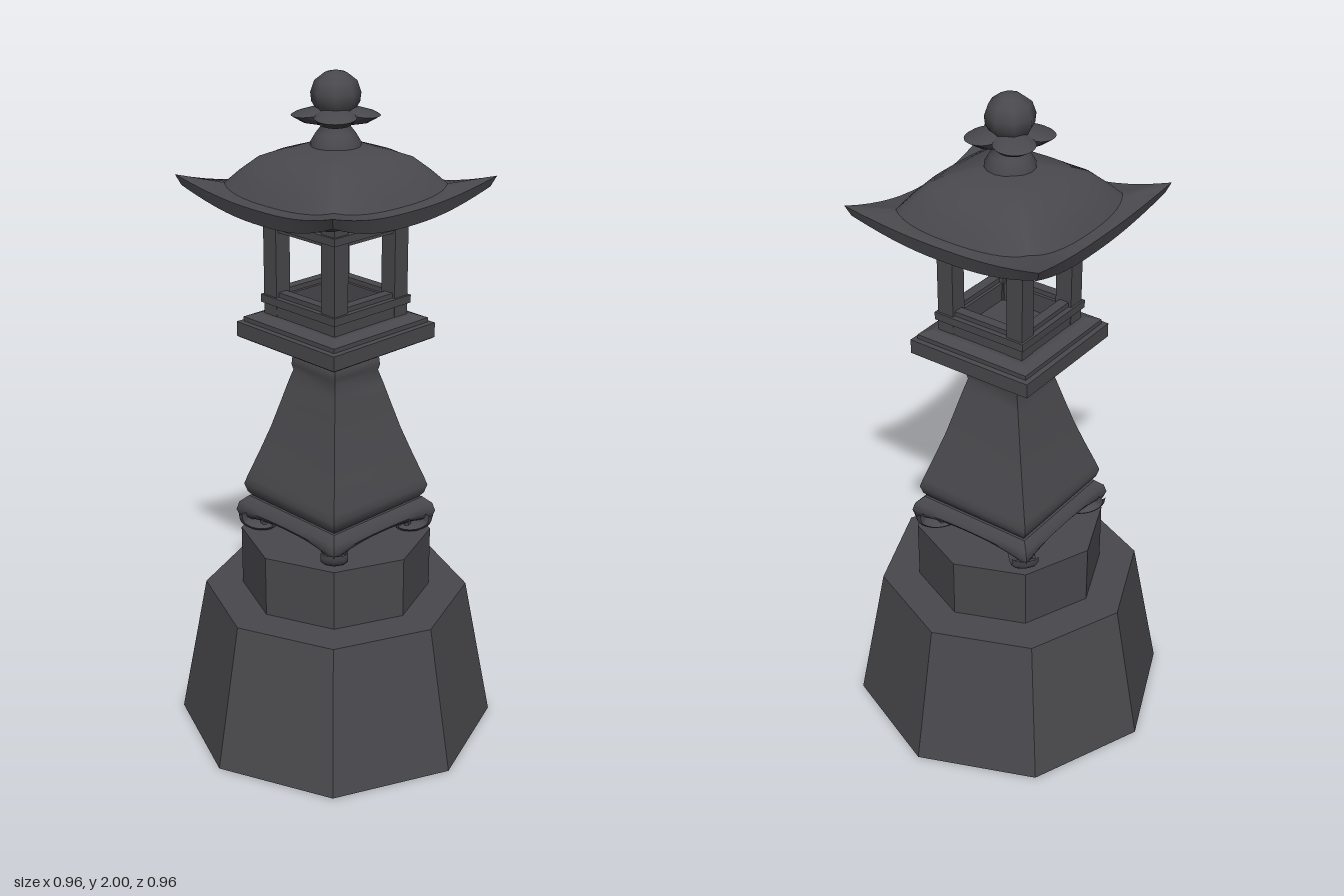
import * as THREE from 'three';
import { toCreasedNormals } from 'three/addons/utils/BufferGeometryUtils.js';

const stone = new THREE.MeshStandardMaterial({ color: 0x49484c });
stone.name = 'dark stone';

function add(parent, name, geometry, crease = 0.55) {
  const mesh = new THREE.Mesh(toCreasedNormals(geometry, crease), stone);
  mesh.name = name;
  parent.add(mesh);
  return mesh;
}

// Faceted turned shape with its corners on the x and z axes; profile runs bottom to top
function turned(parent, name, profile, sides, crease) {
  const points = profile.map(([r, y]) => new THREE.Vector2(r, y));
  return add(parent, name, new THREE.LatheGeometry(points, sides), crease);
}

// Skin over closed rings, listed from the bottom centre to the top centre
function loft(rings, n, pointAt) {
  const pos = [], index = [];
  for (const ring of rings) {
    for (let j = 0; j < n; j++) pos.push(...pointAt(ring, j / n));
  }
  for (let i = 0; i < rings.length - 1; i++) {
    for (let j = 0; j < n; j++) {
      const a = i * n + j, b = i * n + (j + 1) % n;
      index.push(a, b, a + n, b, b + n, a + n);
    }
  }
  const g = new THREE.BufferGeometry();
  g.setAttribute('position', new THREE.Float32BufferAttribute(pos, 3));
  g.setIndex(index);
  return g;
}

// Square ring with corners on the axes: [corner radius, side scale, corner y, side y]
function squarePoint([rc, rm, yc, ym], u) {
  const t = (u * 4) % 1, a = Math.floor(u * 4) * Math.PI / 2;
  const w = Math.abs(2 * t - 1) ** 2.5;
  const s = rm + (rc - rm) * w;
  const p = s * (1 - t), q = s * t;
  return [
    p * Math.sin(a) + q * Math.cos(a),
    ym + (yc - ym) * w,
    p * Math.cos(a) - q * Math.sin(a),
  ];
}

// Four-lobed ring: [radius in the notches, radius at the lobes, notch y, lobe y]
function petalPoint([r0, r1, y0, y1], u) {
  const a = u * Math.PI * 2, w = Math.abs(Math.cos(2 * a)) ** 0.8;
  const lobe = Math.cos(2 * a) ** 2 > 1e-6 ? w : 0;
  const r = r0 + (r1 - r0) * lobe;
  return [r * Math.sin(a), y0 + (y1 - y0) * lobe, r * Math.cos(a)];
}

// Four beams around a square, r being the outer corner radius
function beamRing(parent, name, r, thick, y0, y1) {
  const half = r / Math.SQRT2;
  for (let i = 0; i < 4; i++) {
    const beam = add(parent, name, new THREE.BoxGeometry(half * 2, y1 - y0, thick));
    const a = i * Math.PI / 2, d = half - thick / 2;
    beam.position.set(Math.sin(a) * d, (y0 + y1) / 2, Math.cos(a) * d);
    beam.rotation.y = a;
  }
}

export function createModel() {
  const model = new THREE.Group();
  model.name = 'stoneLantern';

  // Octagonal plinth
  turned(model, 'lowerPlinth', [[0, 0], [0.48, 0], [0.395, 0.445], [0, 0.445]], 8, 0.3);
  turned(model, 'upperPlinth', [[0, 0.44], [0.283, 0.44], [0.283, 0.63], [0, 0.63]], 8, 0.3);

  // Footed frame with an arched apron
  add(model, 'footFrame', loft([
    [0, 0, 0.7, 0.7], [0.22, 0.22, 0.69, 0.7], [0.265, 0.265, 0.658, 0.685],
    [0.287, 0.28, 0.668, 0.69], [0.297, 0.29, 0.69, 0.7], [0.288, 0.285, 0.715, 0.715],
    [0.258, 0.258, 0.736, 0.736], [0, 0, 0.736, 0.736],
  ], 48, squarePoint), 0.7);

  // Curled feet under the corners
  const curl = new THREE.CatmullRomCurve3([
    [0.278, 0.69], [0.272, 0.665], [0.245, 0.648], [0.21, 0.645], [0.187, 0.654], [0.195, 0.668], [0.215, 0.668],
  ].map(([r, y]) => new THREE.Vector3(r, y, 0)));
  for (let i = 0; i < 4; i++) {
    const foot = new THREE.Group();
    foot.name = 'curledFoot';
    foot.rotation.y = i * Math.PI / 2;
    add(foot, 'footScroll', new THREE.TubeGeometry(curl, 24, 0.015, 8).scale(1, 1, 2.6), 1);
    const tip = add(foot, 'scrollEnd', new THREE.SphereGeometry(0.016, 10, 8), 1);
    tip.position.set(0.212, 0.662, 0);
    tip.scale.z = 2.4;
    model.add(foot);
  }

  // Waisted square pillar
  turned(model, 'pillar', [
    [0, 0.73], [0.24, 0.73], [0.262, 0.75], [0.272, 0.775], [0.262, 0.8], [0.225, 0.88],
    [0.19, 0.96], [0.16, 1.04], [0.138, 1.1], [0.122, 1.14], [0.127, 1.155],
    [0.126, 1.175], [0.112, 1.195], [0, 1.195],
  ], 4, 0.6);

  // Stepped platform
  turned(model, 'platform', [
    [0, 1.193], [0.13, 1.193], [0.275, 1.238], [0.282, 1.242], [0.282, 1.285], [0.262, 1.287],
    [0.262, 1.3], [0.22, 1.312], [0, 1.312],
  ], 4, 0.3);

  // Open fire box
  const box = new THREE.Group();
  box.name = 'fireBox';
  box.rotation.y = Math.PI / 4;
  model.add(box);
  beamRing(box, 'sill', 0.2, 0.045, 1.305, 1.345);
  beamRing(box, 'sillLedge', 0.212, 0.055, 1.345, 1.368);
  beamRing(box, 'lowerWindowRail', 0.19, 0.03, 1.366, 1.382);
  beamRing(box, 'upperWindowRail', 0.19, 0.03, 1.556, 1.572);
  beamRing(box, 'lintel', 0.212, 0.055, 1.57, 1.592);
  beamRing(box, 'topPanel', 0.188, 0.035, 1.59, 1.635);
  for (const sx of [-1, 1]) {
    for (const sz of [-1, 1]) {
      const post = add(box, 'post', new THREE.BoxGeometry(0.052, 0.33, 0.052));
      post.position.set(sx * 0.117, 1.468, sz * 0.117);
    }
  }

  // Roof: upturned eaves, then a cushion-shaped dome
  add(model, 'eaves', loft([
    [0, 0, 1.632, 1.632], [0.28, 0.28, 1.632, 1.63], [0.425, 0.388, 1.682, 1.622],
    [0.442, 0.402, 1.712, 1.665], [0.31, 0.355, 1.69, 1.672], [0, 0, 1.69, 1.69],
  ], 64, squarePoint), 0.5);
  add(model, 'roofDome', loft([
    [0.312, 0.362, 1.686, 1.668], [0.262, 0.325, 1.728, 1.705], [0.21, 0.275, 1.765, 1.742],
    [0.15, 0.2, 1.783, 1.775], [0.08, 0.11, 1.797, 1.795], [0, 0, 1.802, 1.802],
  ], 64, squarePoint), 0.9);

  // Finial: neck, four-petalled collar and faceted bud
  turned(model, 'finialNeck', [
    [0.072, 1.785], [0.07, 1.805], [0.055, 1.83], [0.038, 1.852], [0.038, 1.89],
  ], 16, 0.8);
  add(model, 'petalCollar', loft([
    [0, 0, 1.852, 1.852], [0.04, 0.045, 1.855, 1.853], [0.062, 0.09, 1.866, 1.86],
    [0.08, 0.122, 1.885, 1.878], [0.074, 0.112, 1.89, 1.884], [0.045, 0.06, 1.9, 1.9],
    [0, 0, 1.905, 1.905],
  ], 64, petalPoint), 0.8);
  turned(model, 'finialBud', [
    [0, 1.87], [0.048, 1.885], [0.066, 1.915], [0.069, 1.94], [0.058, 1.972], [0.03, 1.993], [0, 2],
  ], 8, 1);

  return model;
}
